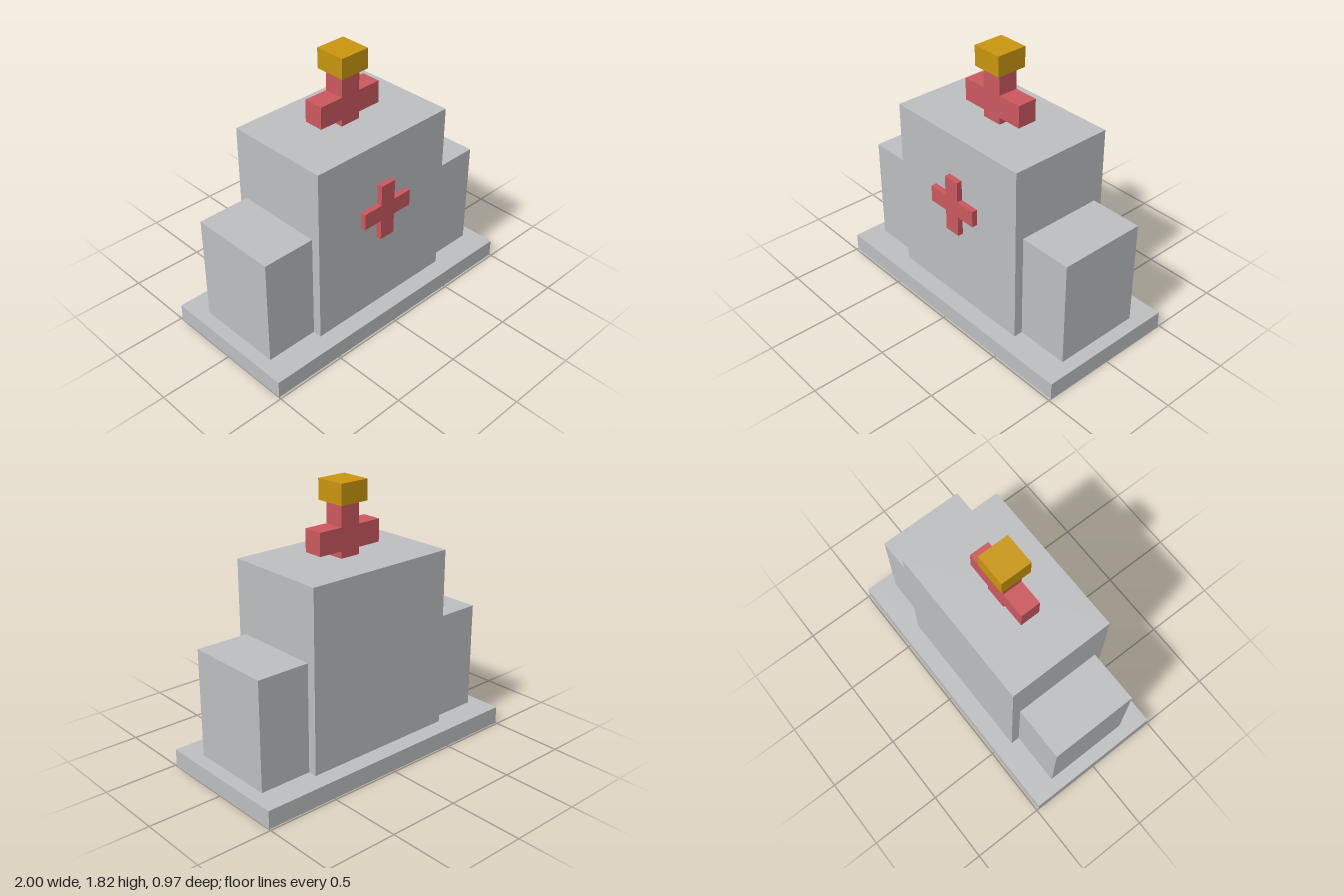
import * as THREE from 'three';

const stone = new THREE.MeshStandardMaterial({ color: 0xbcbec0 });
stone.name = 'pale grey stone';
const red = new THREE.MeshStandardMaterial({ color: 0xcb585e });
red.name = 'soft red';
const gold = new THREE.MeshStandardMaterial({ color: 0xc8960e });
gold.name = 'gold';

// Box centred on x, from y0 to y1
function block(name, material, width, y0, y1, depth, x = 0, z = 0) {
  const mesh = new THREE.Mesh(new THREE.BoxGeometry(width, y1 - y0, depth), material);
  mesh.name = name;
  mesh.position.set(x, (y0 + y1) / 2, z);
  return mesh;
}

// Solid cross in one piece: upright from y0 to y1, arms from a0 to a1
function cross(name, halfPost, halfArm, y0, a0, a1, y1, depth, z) {
  const right = [[halfPost, y0], [halfPost, a0], [halfArm, a0], [halfArm, a1], [halfPost, a1], [halfPost, y1]];
  const left = right.map(([x, y]) => [-x, y]).reverse();
  const shape = new THREE.Shape([...right, ...left].map(([x, y]) => new THREE.Vector2(x, y)));
  const mesh = new THREE.Mesh(new THREE.ExtrudeGeometry(shape, { depth, bevelEnabled: false }), red);
  mesh.name = name;
  mesh.position.z = z;
  return mesh;
}

export function createModel() {
  const model = new THREE.Group();
  model.name = 'building';

  // Plinth and main block
  model.add(block('base', stone, 2, 0, 0.121, 0.97));
  model.add(block('mainBlock', stone, 1.09, 0.121, 1.335, 0.728));

  // Lower wings on both sides
  for (const [name, side] of [['leftWing', 1], ['rightWing', -1]]) {
    model.add(block(name, stone, 0.364, 0.121, 0.85, 0.606, side * 0.727));
  }

  // Raised cross on the front wall
  model.add(cross('frontCross', 0.057, 0.197, 0.653, 0.794, 0.907, 1.047, 0.038, 0.364));

  // Cross on the roof with a gold cap
  model.add(cross('roofCross', 0.073, 0.243, 1.335, 1.382, 1.533, 1.68, 0.136, -0.068));
  model.add(block('cap', gold, 0.212, 1.68, 1.816, 0.212));

  return model;
}
